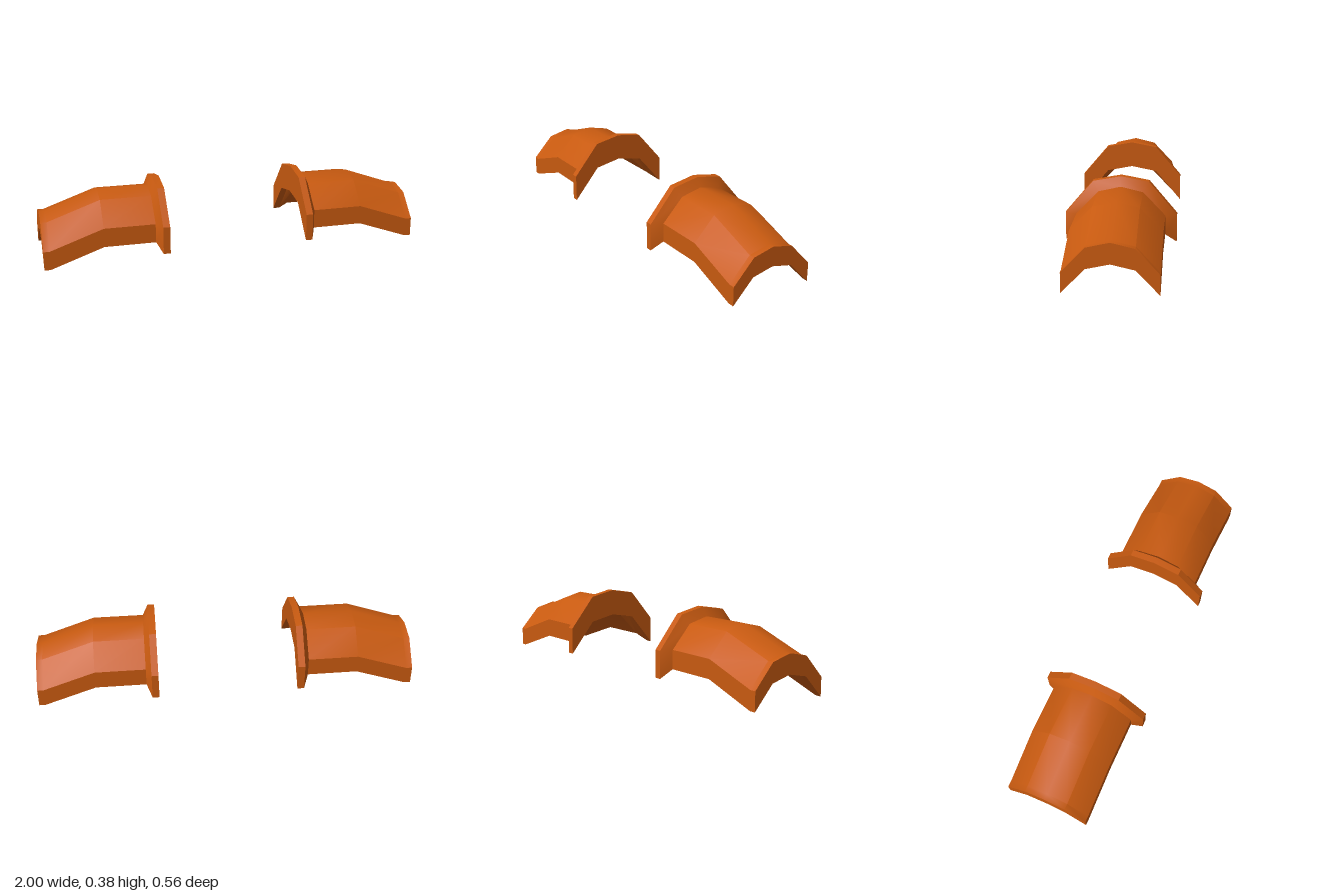
import * as THREE from 'three';
import { toCreasedNormals } from 'three/addons/utils/BufferGeometryUtils.js';

// Closed arch section as [y, z]: outer line front to back, then inner line back to front
function arch(outer, inner, lift = 0) {
  const line = (half) => [...half, ...half.slice(0, -1).reverse().map(([z, y]) => [-z, y])];
  return [...line(outer), ...line(inner).reverse()].map(([z, y]) => [y + lift, z]);
}

const plate = (lift) => arch(
  [[0.223, 0.1], [0.112, 0.218], [0, 0.244]],
  [[0.223, 0.002], [0.112, 0.118], [0, 0.143]], lift);

const rim = arch(
  [[0.28, 0.194], [0.14, 0.36], [0, 0.386]],
  [[0.28, 0.052], [0.14, 0.218], [0, 0.245]]);

// Joins the sections along x and closes both ends
function loft(stations) {
  const pos = [];
  const n = stations[0].section.length;
  const at = (s, j) => [s.x, ...s.section[j % n]];
  const quad = (a, b, c, d) => pos.push(...a, ...b, ...c, ...a, ...c, ...d);
  for (let i = 0; i < stations.length - 1; i++) {
    const s = stations[i], t = stations[i + 1];
    for (let j = 0; j < n; j++) quad(at(s, j), at(t, j), at(t, j + 1), at(s, j + 1));
  }
  const first = stations[0], last = stations[stations.length - 1];
  for (let k = 0; k < n / 2 - 1; k++) {
    quad(at(last, n - 1 - k), at(last, n - 2 - k), at(last, k + 1), at(last, k));
    quad(at(first, k), at(first, k + 1), at(first, n - 2 - k), at(first, n - 1 - k));
  }
  const geo = new THREE.BufferGeometry();
  geo.setAttribute('position', new THREE.Float32BufferAttribute(pos, 3));
  return toCreasedNormals(geo, 0.62);
}

export function createModel() {
  const group = new THREE.Group();
  const material = new THREE.MeshStandardMaterial({ color: 0xc85a10 });

  // Raised collar, flared neck, level top, slope and short level lip
  const geometry = loft([
    { x: 0.366, section: rim },
    { x: 0.402, section: rim },
    { x: 0.43, section: plate(0.096) },
    { x: 0.695, section: plate(0.096) },
    { x: 0.968, section: plate(0) },
    { x: 1, section: plate(0) },
  ]);

  // The section is symmetric, so a half turn gives the other side
  ['left', 'right'].forEach((side, i) => {
    const guard = new THREE.Mesh(geometry, material);
    guard.name = side + 'ShoulderGuard';
    guard.rotation.y = i * Math.PI;
    group.add(guard);
  });
  return group;
}
